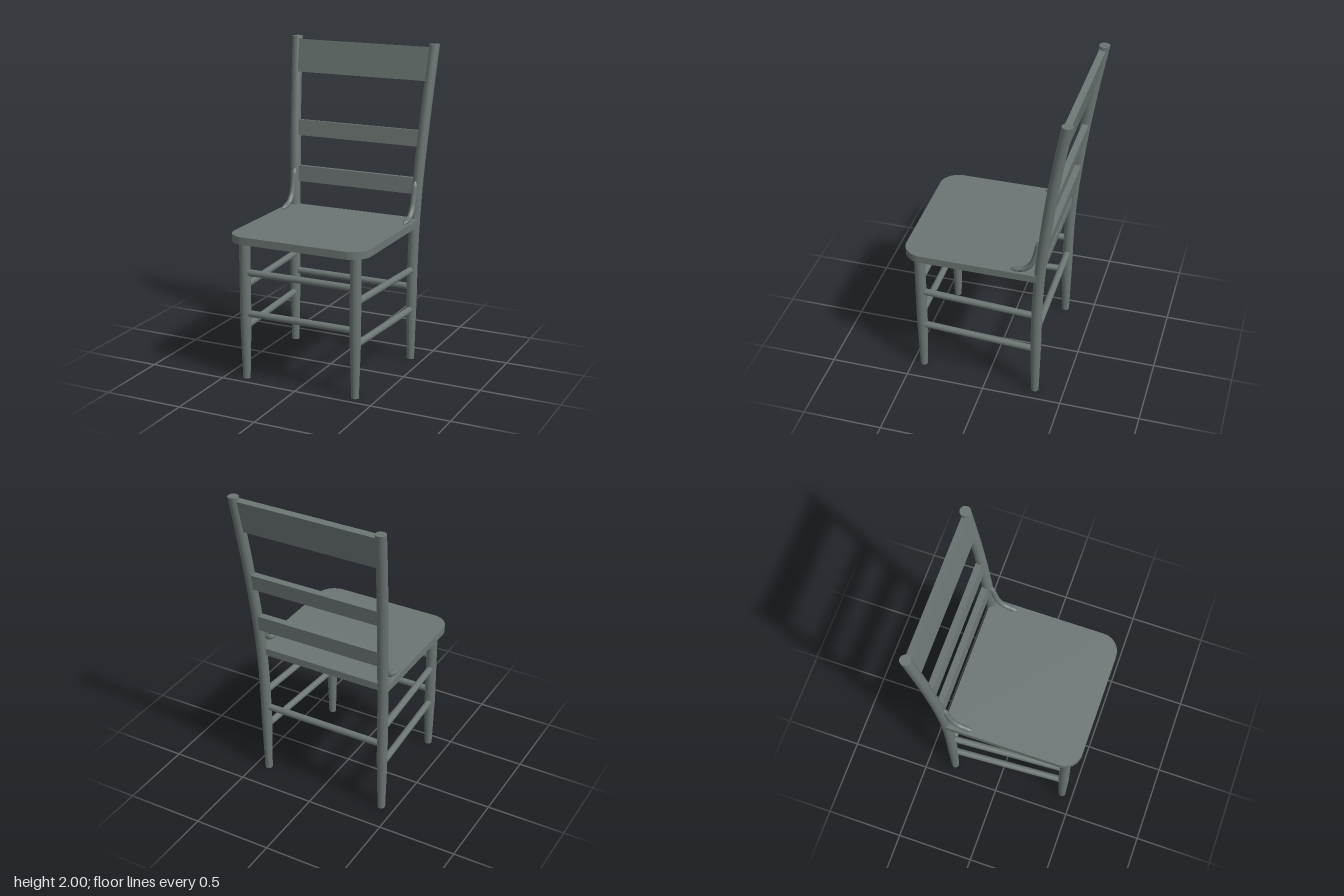
import * as THREE from 'three';

const wood = new THREE.MeshStandardMaterial({ color: 0x6b7573 });
wood.name = 'grey wood';

const v = (x, y, z) => new THREE.Vector3(x, y, z);

function add(group, name, geometry) {
  const mesh = new THREE.Mesh(geometry, wood);
  mesh.name = name;
  group.add(mesh);
  return mesh;
}

// Upright turned pole whose centre follows a path; rings stay level and the foot tapers
function pole(points, radius, footRadius, taperHeight) {
  const curve = new THREE.CatmullRomCurve3(points);
  const bottom = points[0].y, height = points[points.length - 1].y - bottom;
  const geo = new THREE.CylinderGeometry(1, 1, 1, 24, 32);
  const pos = geo.attributes.position;
  for (let i = 0; i < pos.count; i++) {
    const t = pos.getY(i) + 0.5;
    const c = curve.getPoint(t);
    const k = Math.min(1, (c.y - bottom) / taperHeight);
    const r = footRadius + (radius - footRadius) * k;
    pos.setXYZ(i, c.x + pos.getX(i) * r, bottom + height * (c.y - bottom) / height, c.z + pos.getZ(i) * r);
  }
  geo.computeVertexNormals();
  return geo;
}

// Round rung between two points
function rung(group, name, a, b, radius = 0.021) {
  const mesh = add(group, name, new THREE.CylinderGeometry(radius, radius, a.distanceTo(b), 20));
  mesh.position.copy(a).add(b).multiplyScalar(0.5);
  mesh.quaternion.setFromUnitVectors(v(0, 1, 0), b.clone().sub(a).normalize());
}

// Curved brace: a tube narrowed to a blunt tip at both ends
function brace(side) {
  const curve = new THREE.CatmullRomCurve3([
    [-0.158, 0.931], [-0.2, 0.936], [-0.25, 0.952], [-0.288, 0.995],
    [-0.31, 1.06], [-0.322, 1.12], [-0.336, 1.168],
  ].map(([z, y]) => v(side * 0.421, y, z)));
  const rings = 40, sides = 16;
  const geo = new THREE.TubeGeometry(curve, rings, 0.017, sides);
  const pos = geo.attributes.position, p = v(0, 0, 0);
  for (let i = 0; i < pos.count; i++) {
    const t = Math.floor(i / (sides + 1)) / rings;
    const k = Math.min(1, Math.sqrt(Math.min(t, 1 - t) / 0.1));
    const c = curve.getPointAt(t);
    p.fromBufferAttribute(pos, i).sub(c).multiplyScalar(Math.max(k, 0.02)).add(c);
    pos.setXYZ(i, p.x, p.y, p.z);
  }
  geo.computeVertexNormals();
  return geo;
}

export function createModel() {
  const chair = new THREE.Group();
  chair.name = 'chair';

  // Seat: square at the back, rounded at the front corners
  const w = 0.453, front = 0.52, back = -0.342, r = 0.12;
  const outline = new THREE.Shape();
  outline.moveTo(-w, -back);
  outline.lineTo(-w, -front + r);
  outline.absarc(-w + r, -front + r, r, Math.PI, Math.PI * 1.5, false);
  outline.absarc(w - r, -front + r, r, Math.PI * 1.5, Math.PI * 2, false);
  outline.lineTo(w, -back);
  const seatGeo = new THREE.ExtrudeGeometry(outline, { depth: 0.047, bevelEnabled: false, curveSegments: 16 });
  seatGeo.rotateX(-Math.PI / 2);
  add(chair, 'seat', seatGeo).position.y = 0.88;

  for (const s of [1, -1]) {
    const side = s > 0 ? 'left' : 'right';

    // Legs and the bent back posts
    add(chair, side + 'FrontLeg', pole(
      [v(s * 0.368, 0, 0.429), v(s * 0.368, 0.45, 0.429), v(s * 0.368, 0.885, 0.429)], 0.034, 0.023, 0.36));
    add(chair, side + 'BackPost', pole([
      v(s * 0.414, 0, -0.318), v(s * 0.414, 0.35, -0.319), v(s * 0.417, 0.7, -0.325),
      v(s * 0.422, 0.95, -0.34), v(s * 0.43, 1.2, -0.366), v(s * 0.443, 1.45, -0.397),
      v(s * 0.457, 1.72, -0.438), v(s * 0.472, 2, -0.487),
    ], 0.033, 0.024, 0.36));

    // Side rungs and the brace between seat and post
    for (const y of [0.595, 0.333])
      rung(chair, side + 'SideRung', v(s * 0.37, y, 0.429), v(s * 0.414, y, -0.319));
    add(chair, side + 'Brace', brace(s));
  }

  // Cross rungs
  for (const y of [0.682, 0.421])
    rung(chair, 'frontRung', v(-0.368, y, 0.429), v(0.368, y, 0.429));
  rung(chair, 'backRung', v(-0.414, 0.48, -0.32), v(0.414, 0.48, -0.32));

  // Back slats: centre height, centre z, height, half length, tilt
  for (const [y, z, h, half, tilt] of [
    [1.877, -0.461, 0.209, 0.462, 0.185],
    [1.422, -0.397, 0.101, 0.441, 0.12],
    [1.127, -0.364, 0.101, 0.427, 0.09],
  ]) {
    const slat = add(chair, 'backSlat', new THREE.BoxGeometry(half * 2, h, 0.04));
    slat.position.set(0, y, z);
    slat.rotation.x = -tilt;
  }

  return chair;
}
